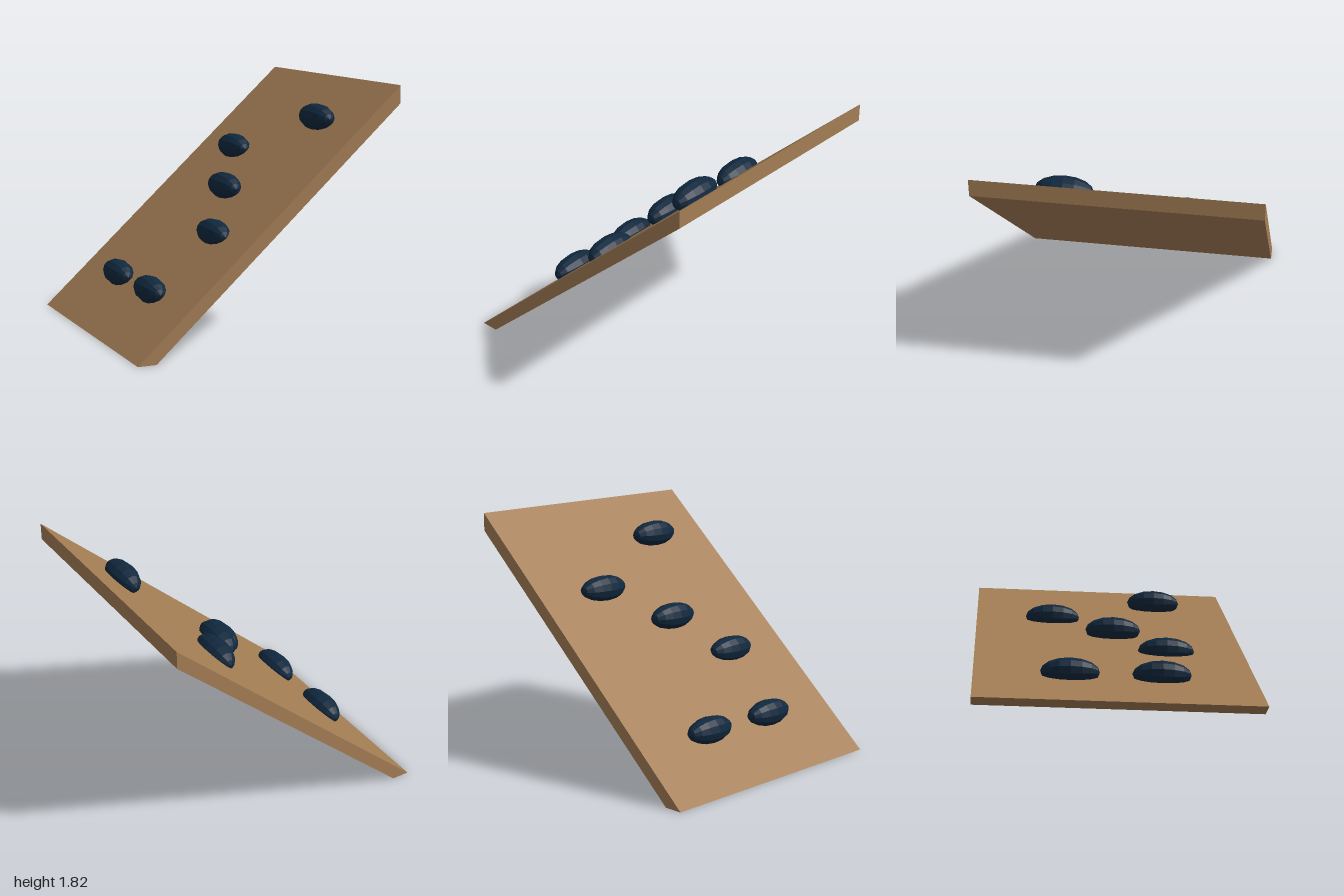
import * as THREE from 'three';

export function createModel() {
  const model = new THREE.Group();
  const wood = new THREE.MeshStandardMaterial({ color: 0xa67f56 });
  wood.name = 'tan wood';
  const navy = new THREE.MeshStandardMaterial({ color: 0x10283e, flatShading: true });
  navy.name = 'dark navy';

  // Sloping board: side profile extruded across its width
  const profile = new THREE.Shape([
    new THREE.Vector2(-1, 0),
    new THREE.Vector2(-0.865, 0),
    new THREE.Vector2(1, 1.69),
    new THREE.Vector2(1, 1.82),
  ]);
  const width = 1.98;
  const boardGeometry = new THREE.ExtrudeGeometry(profile, { depth: width, bevelEnabled: false });
  boardGeometry.translate(0, 0, -width / 2);
  const board = new THREE.Mesh(boardGeometry, wood);
  board.name = 'slopedBoard';
  model.add(board);

  // Climbing holds: elongated low-poly balls half sunk in the board, poles along z
  const holdGeometry = new THREE.SphereGeometry(0.1, 12, 8);
  holdGeometry.rotateX(Math.PI / 2);
  holdGeometry.scale(1, 1, 2.07);
  const holds = [
    [-0.645, 0.36, -0.32],
    [-0.645, 0.36, 0.32],
    [-0.185, 0.755, 0.41],
    [0.07, 1.03, 0.04],
    [0.355, 1.26, -0.405],
    [0.64, 1.555, 0.415],
  ];
  holds.forEach(([x, y, z], i) => {
    const hold = new THREE.Mesh(holdGeometry, navy);
    hold.name = `climbingHold${i + 1}`;
    hold.position.set(x, y, z);
    model.add(hold);
  });

  return model;
}
